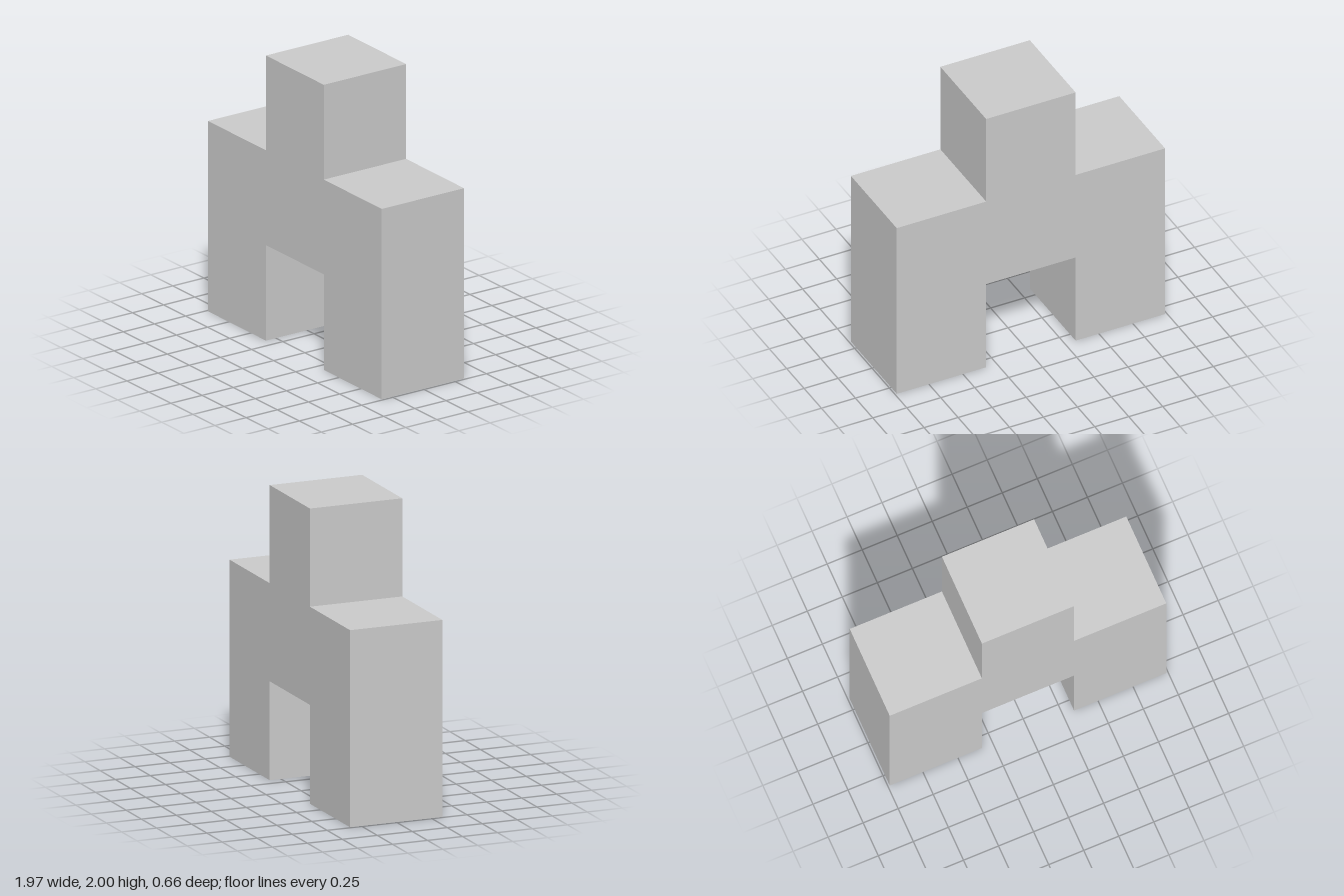
import * as THREE from 'three';

// Half widths and heights of the stepped arch
const OUTER = 0.987, INNER = 0.329, DEPTH = 0.66;
const ARCH = 0.67, SHOULDER = 1.335, TOP = 2;

export function createModel() {
  const group = new THREE.Group();
  group.name = 'steppedArch';

  // Right half of the outline, from the arch up to the top; mirrored for the other half
  const half = [
    [INNER, ARCH], [INNER, 0], [OUTER, 0],
    [OUTER, SHOULDER], [INNER, SHOULDER], [INNER, TOP],
  ];
  const mirrored = half.map(([x, y]) => [-x, y]).reverse();
  const outline = new THREE.Shape([...half, ...mirrored].map(([x, y]) => new THREE.Vector2(x, y)));

  // One solid body: two legs, a bridge and a raised centre block
  const geometry = new THREE.ExtrudeGeometry(outline, { depth: DEPTH, bevelEnabled: false });
  geometry.translate(0, 0, -DEPTH / 2);
  const body = new THREE.Mesh(
    geometry,
    new THREE.MeshStandardMaterial({ color: 0xcccccc, flatShading: true }),
  );
  body.name = 'archBody';
  group.add(body);

  return group;
}
